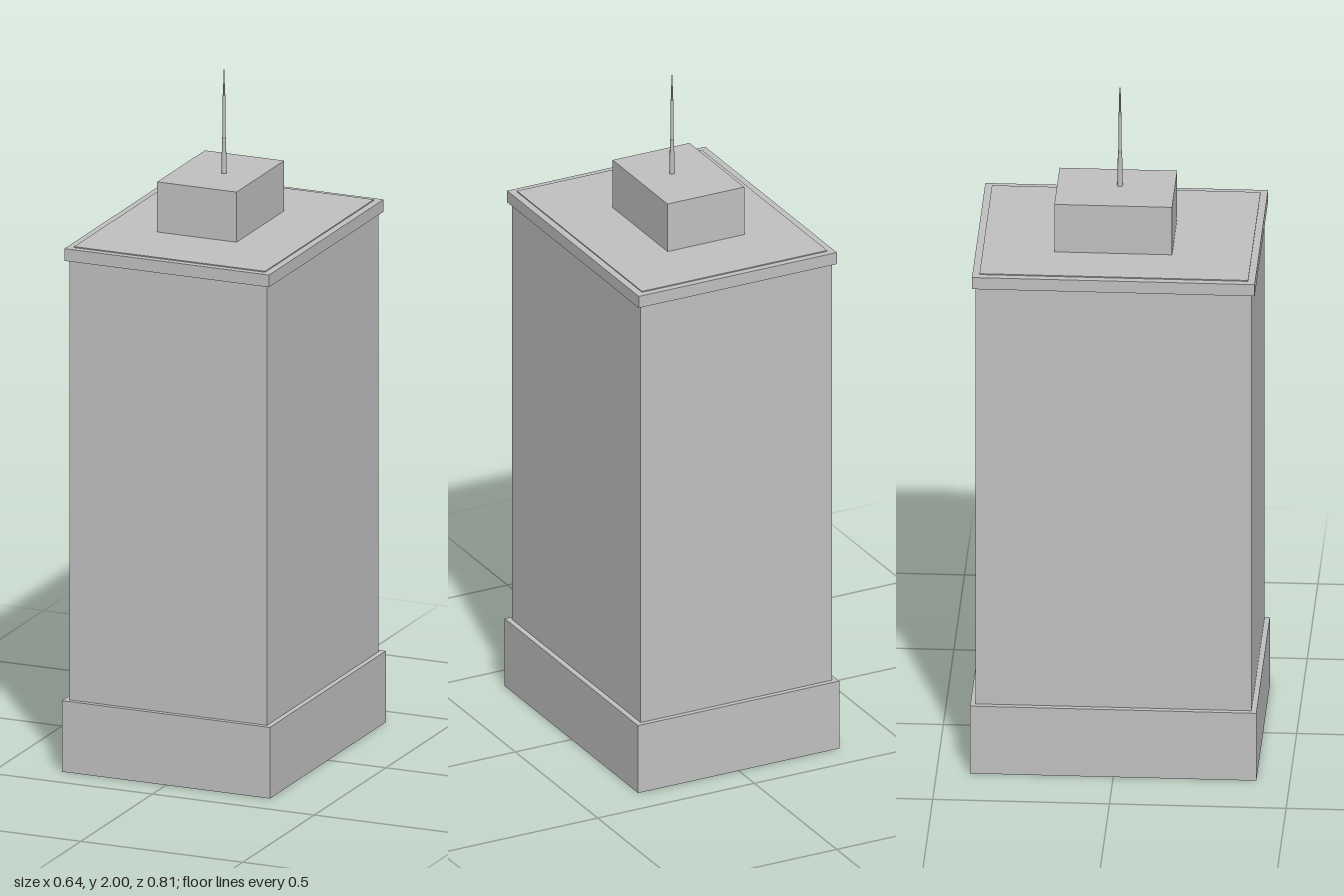
import * as THREE from 'three';

export function createModel() {
  const tower = new THREE.Group();
  tower.name = 'tower';
  const concrete = new THREE.MeshStandardMaterial({ color: 0xc0c0c0 });
  concrete.name = 'concrete grey';

  // Box with given width, depth, vertical span and centre
  function block(name, w, d, y0, y1, x = 0, z = 0) {
    const mesh = new THREE.Mesh(new THREE.BoxGeometry(w, y1 - y0, d), concrete);
    mesh.name = name;
    mesh.position.set(x, (y0 + y1) / 2, z);
    tower.add(mesh);
  }

  block('podium', 0.642, 0.81, 0, 0.21);
  block('shaft', 0.61, 0.78, 0.21, 1.508);
  block('cornice', 0.632, 0.8, 1.508, 1.544);
  block('roofDeck', 0.59, 0.76, 1.544, 1.547);
  block('penthouse', 0.245, 0.333, 1.547, 1.695, -0.015, -0.011);

  // Antenna in three sections, thinner towards the tip
  const antenna = new THREE.Group();
  antenna.name = 'antenna';
  const sections = [
    [1.695, 1.8, 0.008, 0.006],
    [1.8, 1.925, 0.005, 0.004],
    [1.925, 2.0, 0.0025, 0.002],
  ];
  sections.forEach(([y0, y1, bottom, top], i) => {
    const mesh = new THREE.Mesh(new THREE.CylinderGeometry(top, bottom, y1 - y0, 8), concrete);
    mesh.name = 'antennaSection' + (i + 1);
    mesh.position.y = (y0 + y1) / 2;
    antenna.add(mesh);
  });
  tower.add(antenna);

  return tower;
}
